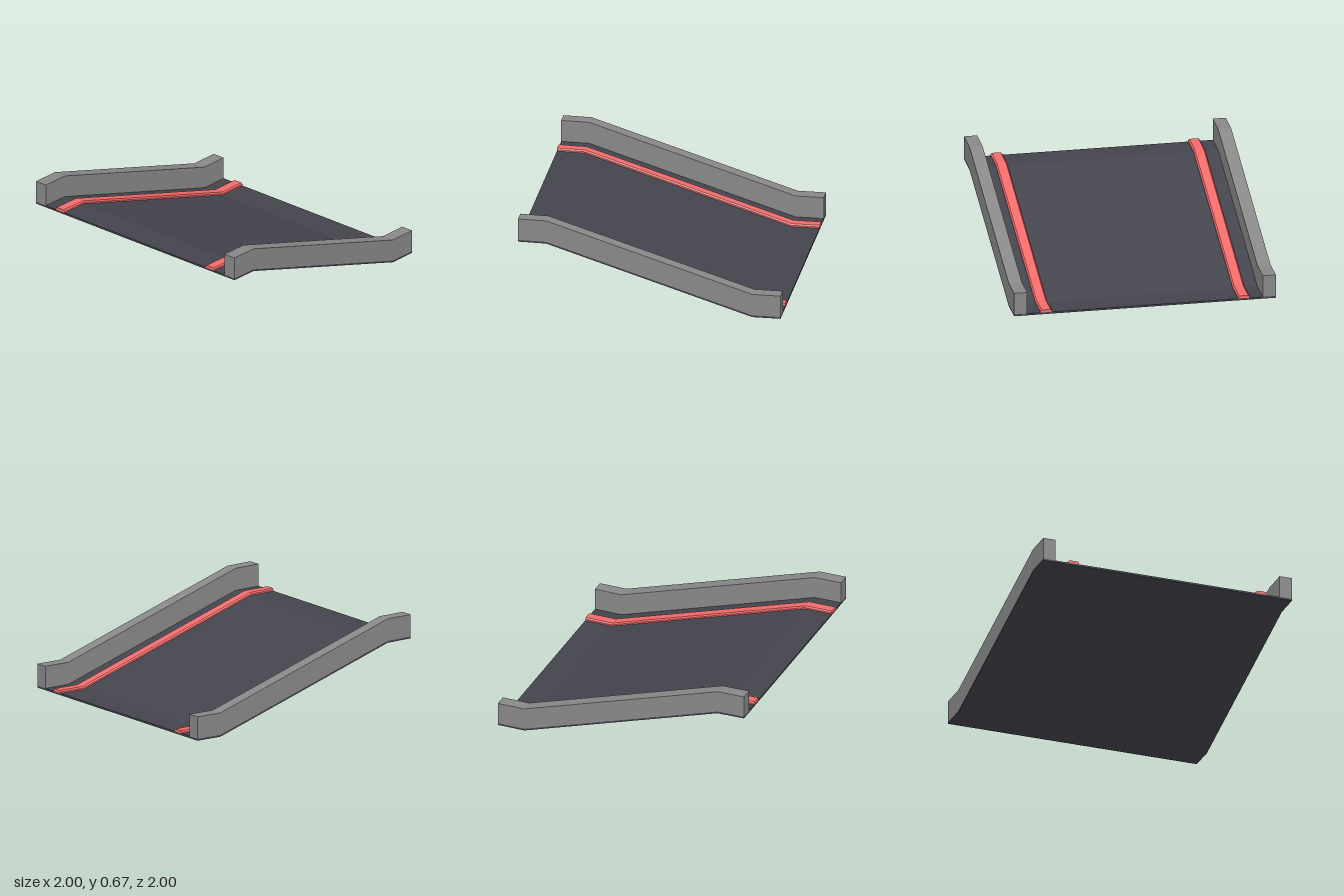
import * as THREE from 'three';

// Underside of the ramp as [x, y], from the high end to the low end
const PATH = [[-1, 0.486], [-0.785, 0.485], [0.785, 0], [1, 0.002]];
const DECK = 0.014;

// Sweeps a convex section of [z, height] corners along the ramp, with closed ends
function sweep(section) {
  const n = section.length;
  const last = PATH.length - 1;
  const point = (i, j) => [PATH[i][0], PATH[i][1] + section[j % n][1], section[j % n][0]];
  const pos = [];
  const tri = (a, b, c) => pos.push(...a, ...b, ...c);
  for (let i = 0; i < last; i++) {
    for (let j = 0; j < n; j++) {
      const a = point(i, j), b = point(i + 1, j), c = point(i + 1, j + 1), d = point(i, j + 1);
      tri(a, c, b);
      tri(a, d, c);
    }
  }
  for (let j = 1; j < n - 1; j++) {
    tri(point(0, 0), point(0, j + 1), point(0, j));
    tri(point(last, 0), point(last, j), point(last, j + 1));
  }
  const geometry = new THREE.BufferGeometry();
  geometry.setAttribute('position', new THREE.Float32BufferAttribute(pos, 3));
  geometry.computeVertexNormals();
  return geometry;
}

// Section corners run up the -z side, over the top and down the +z side
const box = (z, w, h0, h1) => [[z - w, h0], [z - w, h1], [z + w, h1], [z + w, h0]];
const bevelled = (z, w, h0, h1, bevel) => [
  [z - w, h0], [z - w, h1 - bevel], [z - w + bevel, h1],
  [z + w - bevel, h1], [z + w, h1 - bevel], [z + w, h0],
];

export function createModel() {
  const group = new THREE.Group();
  const material = (color) => new THREE.MeshStandardMaterial({ color, flatShading: true });
  const dark = material(0x44444d), grey = material(0x888888), red = material(0xf56b6b);

  const add = (name, section, mat) => {
    const mesh = new THREE.Mesh(sweep(section), mat);
    mesh.name = name;
    group.add(mesh);
  };

  // Thin sloping road surface
  add('roadDeck', box(0, 1, 0, DECK), dark);

  // Side walls and painted, bevelled edge strips
  for (const [side, s] of [['front', 1], ['back', -1]]) {
    add(side + 'Wall', box(0.95 * s, 0.05, DECK, 0.185), grey);
    add(side + 'EdgeStrip', bevelled(0.755 * s, 0.044, DECK, 0.035, 0.01), red);
  }
  return group;
}
